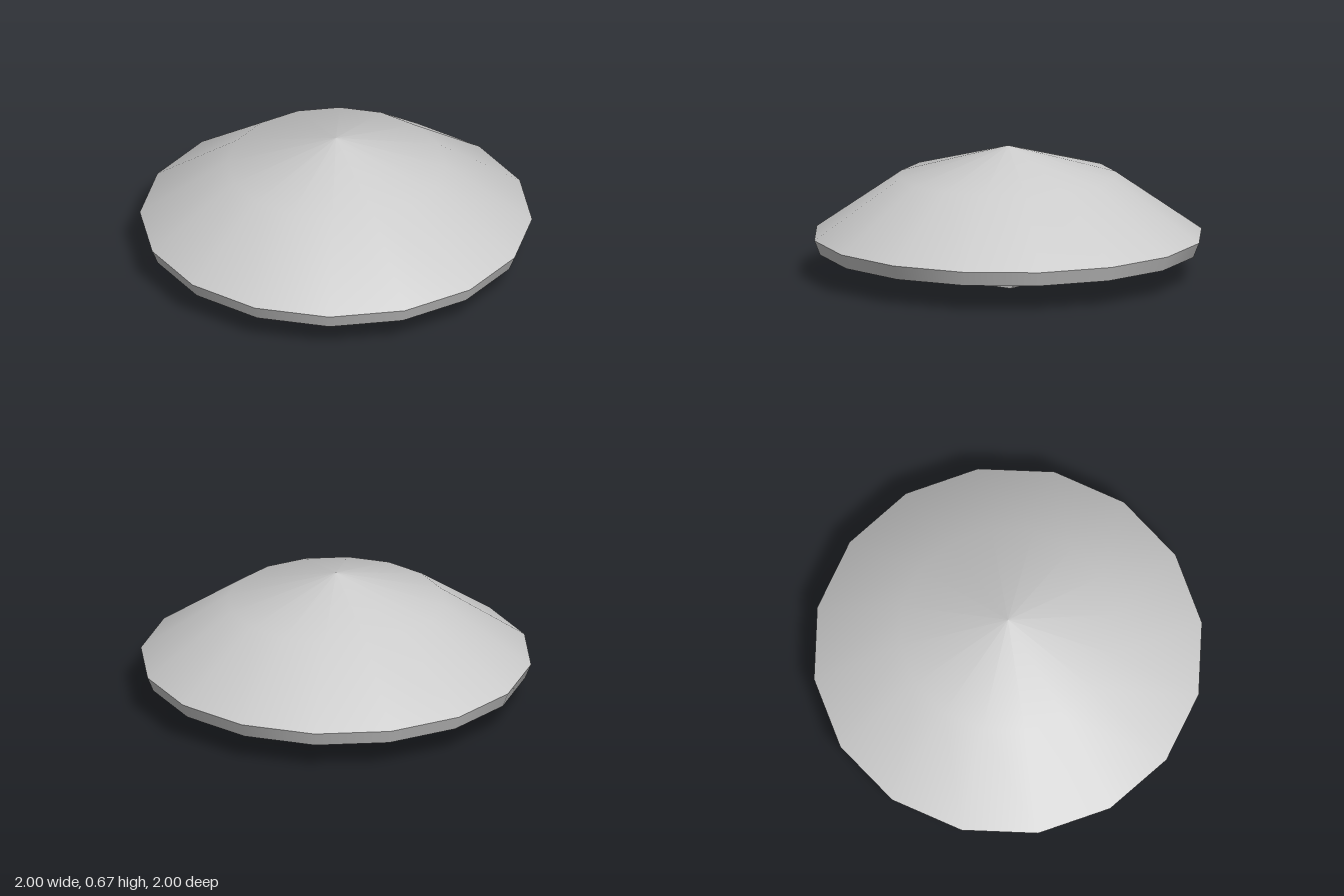
import * as THREE from 'three';

const material = new THREE.MeshStandardMaterial({ color: 0xcccccc });
const SIDES = 16;

// Revolved surface from [radius, height] pairs; upward profiles face outwards
function revolve(name, profile) {
  const points = profile.map(([r, y]) => new THREE.Vector2(r, y));
  const mesh = new THREE.Mesh(new THREE.LatheGeometry(points, SIDES), material);
  mesh.name = name;
  return mesh;
}

// U-shaped band with bevelled lower corners, its legs ending inside the shell
function strap(name, x, bottom) {
  const width = 0.125, top = 0.46;
  const outline = [
    [-0.265, top], [-0.265, bottom + 0.065], [-0.233, bottom],
    [0.222, bottom], [0.265, bottom + 0.065], [0.265, top],
    [0.24, top], [0.24, bottom + 0.075], [0.21, bottom + 0.025],
    [-0.22, bottom + 0.025], [-0.24, bottom + 0.075], [-0.24, top],
  ];
  const shape = new THREE.Shape(outline.map(([a, b]) => new THREE.Vector2(a, b)));
  const geometry = new THREE.ExtrudeGeometry(shape, { depth: width, bevelEnabled: false });
  geometry.translate(0, 0, -width / 2);
  geometry.rotateY(Math.PI / 2);
  const mesh = new THREE.Mesh(geometry, material);
  mesh.name = name;
  mesh.position.x = x;
  return mesh;
}

export function createModel() {
  const group = new THREE.Group();
  group.name = 'roundShield';

  // Shell: domed face, slanted rim and hollow back
  group.add(
    revolve('dome', [[1, 0.21], [0.555, 0.52], [0, 0.673]]),
    revolve('rim', [[0.97, 0.135], [1, 0.21]]),
    revolve('hollowBack', [[0, 0.54], [0.97, 0.135]]),
  );

  // Arm strap and the shallower hand grip
  group.add(strap('armStrap', 0.218, 0), strap('handGrip', -0.228, 0.07));
  return group;
}
